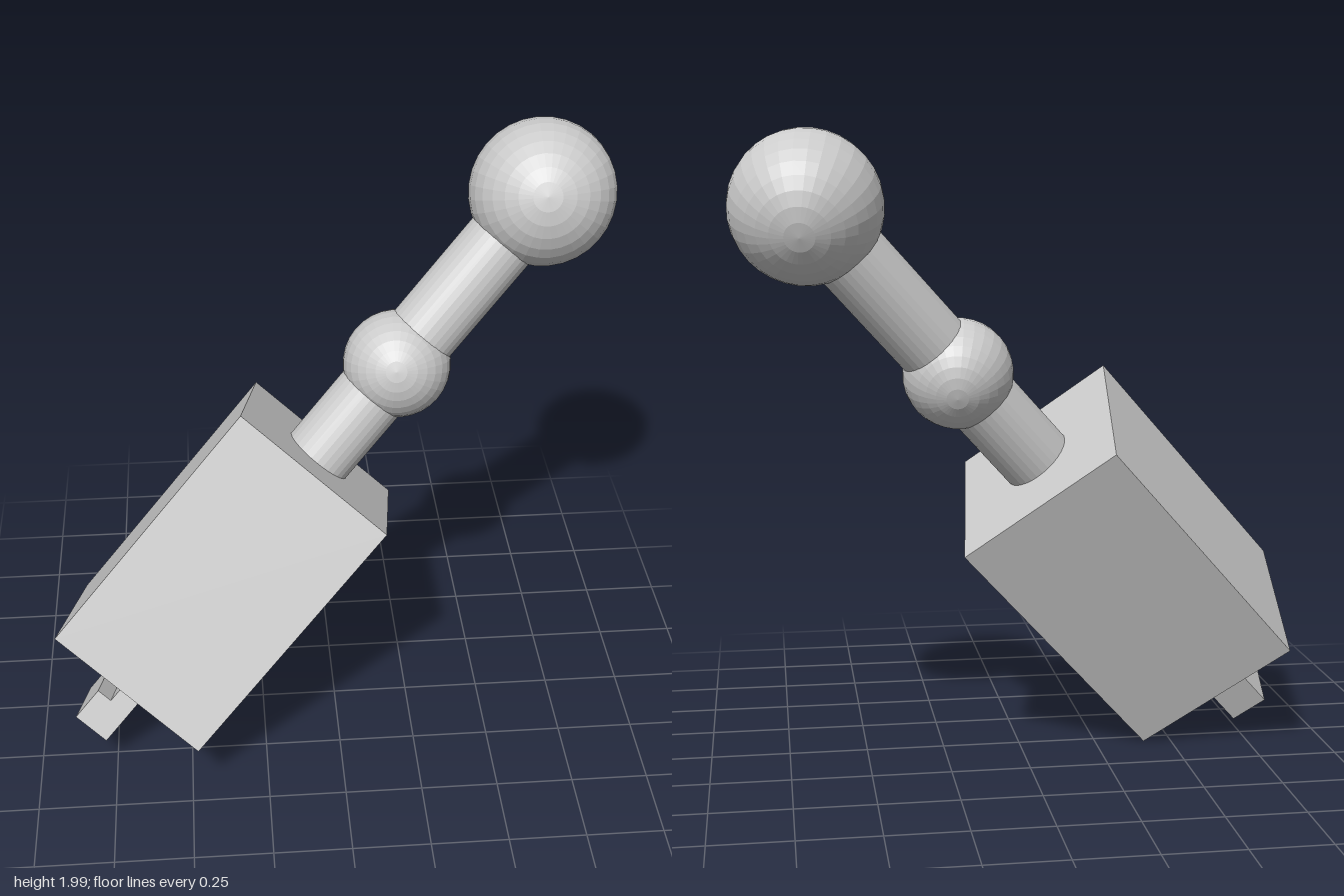
import * as THREE from 'three';

const material = new THREE.MeshStandardMaterial({ color: 0xcccccc, flatShading: true });

function addPart(parent, name, geometry, y = 0) {
  const mesh = new THREE.Mesh(geometry, material);
  mesh.name = name;
  mesh.position.y = y;
  parent.add(mesh);
  return mesh;
}

// Faceted ball with its poles along the local z axis
function ball(radius) {
  return new THREE.SphereGeometry(radius, 32, 16).rotateX(Math.PI / 2);
}

// Rod between two heights on the local y axis
function addRod(parent, name, radius, y0, y1) {
  addPart(parent, name, new THREE.CylinderGeometry(radius, radius, y1 - y0, 32), (y0 + y1) / 2);
}

export function createModel() {
  const model = new THREE.Group();
  model.name = 'model';

  // Everything is built along local y, then tilted as one piece
  const tilted = new THREE.Group();
  tilted.name = 'tiltedAssembly';
  const up = new THREE.Vector3(0.654, 0.729, -0.202).normalize();
  const side = new THREE.Vector3(0.743, -0.59, 0.316);
  side.addScaledVector(up, -side.dot(up)).normalize();
  const front = new THREE.Vector3().crossVectors(side, up);
  tilted.quaternion.setFromRotationMatrix(new THREE.Matrix4().makeBasis(side, up, front));
  tilted.position.set(-0.354, 0.624, 0.035);
  model.add(tilted);

  // Body block
  addPart(tilted, 'body', new THREE.BoxGeometry(0.585, 0.94, 0.583));

  // Shaft with a middle ball and an end ball
  addRod(tilted, 'lowerShaft', 0.115, 0.46, 0.864);
  addPart(tilted, 'middleBall', ball(0.173), 0.864);
  addRod(tilted, 'upperShaft', 0.115, 0.864, 1.5);
  addPart(tilted, 'endBall', ball(0.232), 1.571);

  // L-shaped hook under the body
  const outline = [[-0.065, -0.7], [0.063, -0.7], [0.063, -0.46], [-0.012, -0.46], [-0.012, -0.58], [-0.065, -0.58]];
  const shape = new THREE.Shape(outline.map(([x, y]) => new THREE.Vector2(x, y)));
  const hook = new THREE.ExtrudeGeometry(shape, { depth: 0.27, bevelEnabled: false });
  addPart(tilted, 'hook', hook.translate(0, 0, -0.135));

  return model;
}
